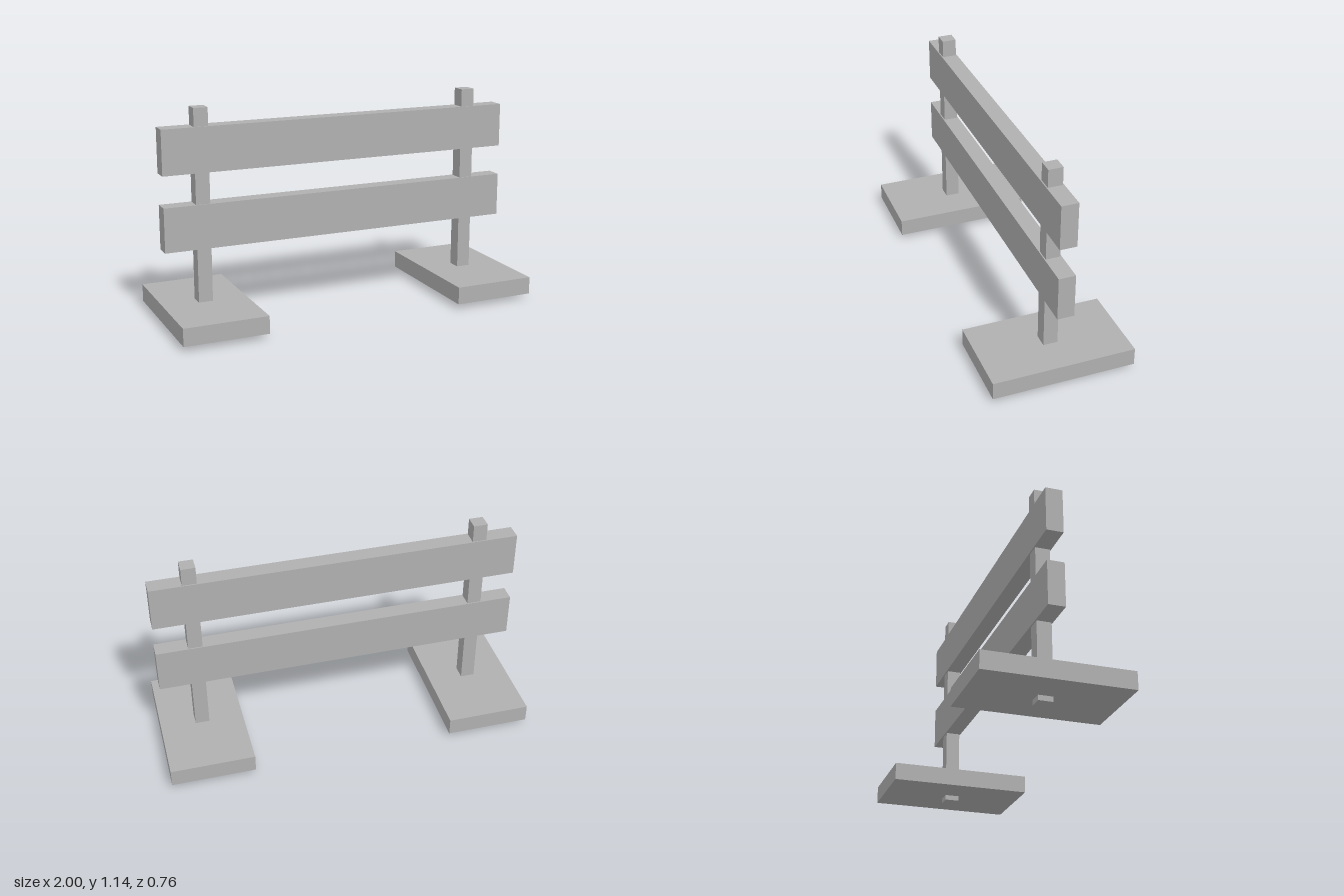
import * as THREE from 'three';

export function createModel() {
  const group = new THREE.Group();
  group.name = 'barrier';
  const grey = new THREE.MeshStandardMaterial({ color: 0xb0b0b0 });
  grey.name = 'plain grey';

  // Box given by its centre x, its bottom and top heights, width and depth
  const addBox = (name, x, y0, y1, width, depth) => {
    const mesh = new THREE.Mesh(new THREE.BoxGeometry(width, y1 - y0, depth), grey);
    mesh.name = name;
    mesh.position.set(x, (y0 + y1) / 2, 0);
    group.add(mesh);
  };

  // Foot slabs, with the posts running through them to the ground
  for (const [side, s] of [['left', 1], ['right', -1]]) {
    addBox(side + 'Foot', s * 0.774, 0.027, 0.122, 0.452, 0.762);
    addBox(side + 'Post', s * 0.772, 0, 1.145, 0.076, 0.077);
  }

  // Horizontal boards, slightly thicker than the posts
  addBox('lowerBoard', 0, 0.41, 0.646, 1.964, 0.089);
  addBox('upperBoard', 0, 0.811, 1.049, 1.964, 0.089);

  return group;
}
